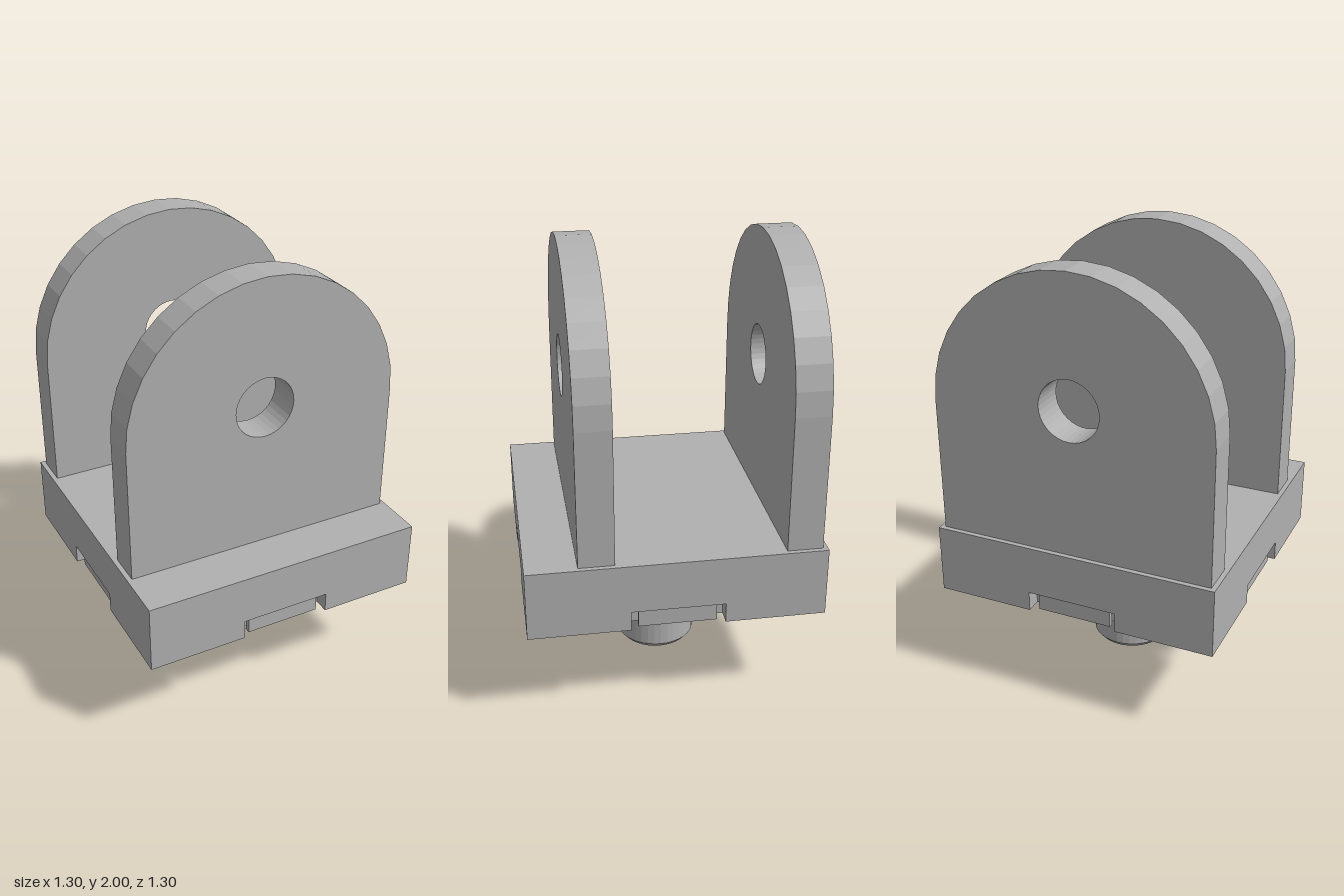
import * as THREE from 'three';

export function createModel() {
  const model = new THREE.Group();
  const grey = new THREE.MeshStandardMaterial({ color: 0xb0b0b0 });
  grey.name = 'grey';
  const flatGrey = grey;

  const add = (name, geometry, x, y, z, parent = model) => {
    const mesh = new THREE.Mesh(geometry, flatGrey);
    mesh.name = name;
    mesh.position.set(x, y, z);
    parent.add(mesh);
    return mesh;
  };

  const half = 0.652;              // half width of the base
  const bottom = 0.44, step = 0.53, top = 0.755;
  const notchHalf = 0.206, notchDepth = 0.07;

  // Upper slab of the base
  add('baseSlab', new THREE.BoxGeometry(half * 2, top - step, half * 2), 0, (top + step) / 2, 0);

  // Lower slab with a notch in the middle of each side
  const outline = [];
  for (let i = 0; i < 4; i++) {
    const turn = i * Math.PI / 2;
    for (const [x, y] of [
      [-half, -half], [-notchHalf, -half], [-notchHalf, notchDepth - half],
      [notchHalf, notchDepth - half], [notchHalf, -half],
    ]) {
      outline.push(new THREE.Vector2(x, y).rotateAround(new THREE.Vector2(), turn));
    }
  }
  const lower = new THREE.ExtrudeGeometry(new THREE.Shape(outline), { depth: step - bottom, bevelEnabled: false });
  lower.rotateX(-Math.PI / 2);
  add('notchedBase', lower, 0, bottom, 0);

  // A short tab hanging inside each notch
  for (let i = 0; i < 4; i++) {
    const side = new THREE.Group();
    side.name = 'notchSide';
    side.rotation.y = i * Math.PI / 2;
    model.add(side);
    add('notchTab', new THREE.BoxGeometry(0.344, step - bottom, 0.025),
      0, (step + bottom) / 2, half - 0.0375, side);
  }

  // Arched lugs with a round pin hole
  const r = 0.63, arcY = 1.37, holeY = 1.422, holeR = 0.137;
  const lug = new THREE.Shape();
  lug.moveTo(-r, top);
  lug.lineTo(r, top);
  lug.lineTo(r, arcY);
  lug.absarc(0, arcY, r, 0, Math.PI, false);
  lug.lineTo(-r, top);
  const hole = new THREE.Path();
  hole.absarc(0, holeY, holeR, 0, -Math.PI, true);
  hole.absarc(0, holeY, holeR, Math.PI, 0, true);
  lug.holes.push(hole);
  const lugGeometry = new THREE.ExtrudeGeometry(lug, { depth: 0.157, bevelEnabled: false, curveSegments: 9 });
  add('frontLug', lugGeometry, 0, 0, 0.27);
  add('backLug', lugGeometry, 0, 0, -0.63);

  // Round post with a chamfered foot
  const profile = [[0, 0], [0.162, 0], [0.183, 0.025], [0.183, bottom]]
    .map(([x, y]) => new THREE.Vector2(x, y));
  const post = new THREE.LatheGeometry(profile, 36).toNonIndexed();
  post.computeVertexNormals();
  add('post', post, 0, 0, 0);

  return model;
}
